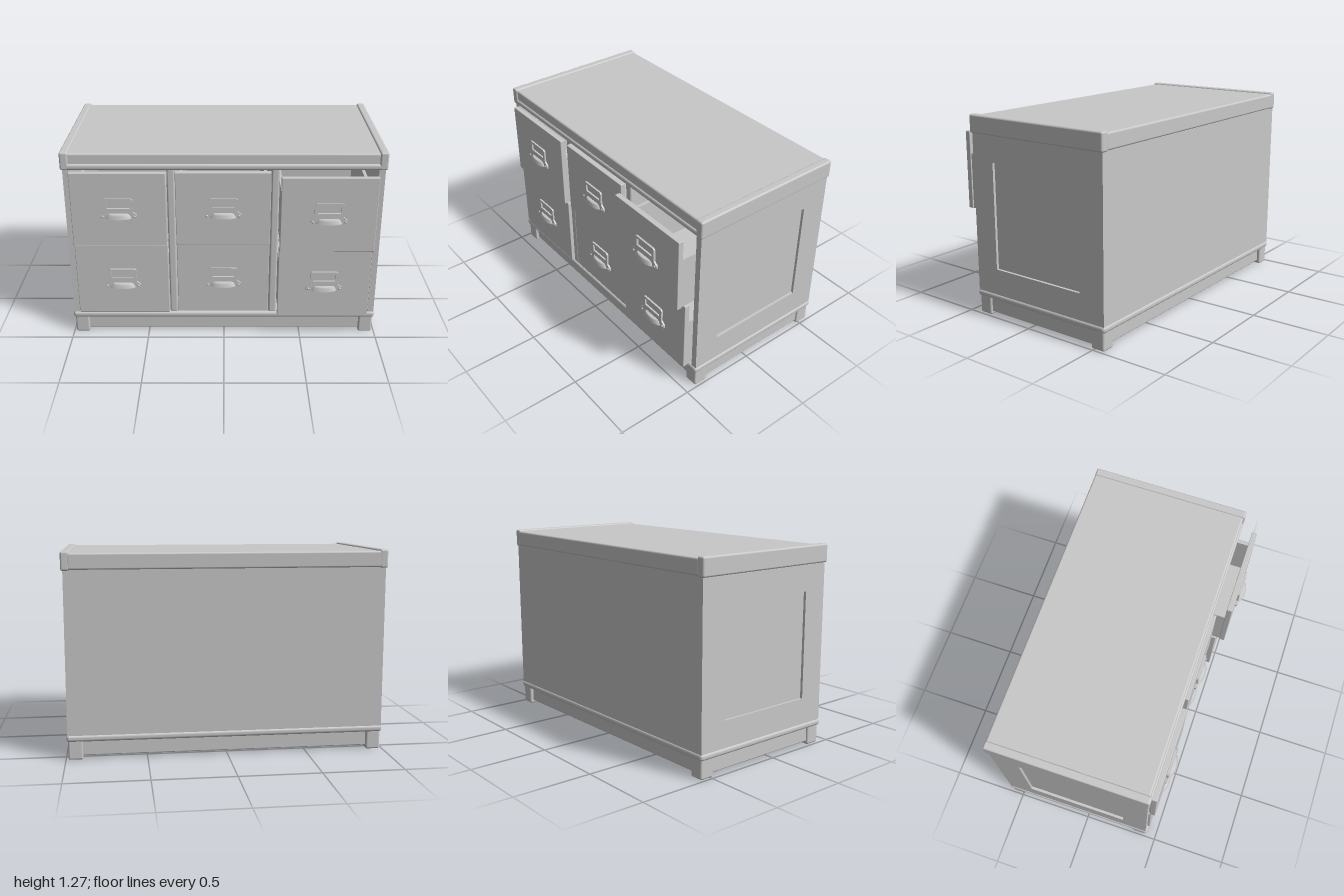
import * as THREE from 'three';
import { RoundedBoxGeometry } from 'three/addons/geometries/RoundedBoxGeometry.js';

const paint = new THREE.MeshStandardMaterial({ color: 0xc8c8c8, side: THREE.DoubleSide });
paint.name = 'grey paint';

function mesh(parent, name, geometry) {
  const m = new THREE.Mesh(geometry, paint);
  m.name = name;
  parent.add(m);
  return m;
}

// Box given by its min and max on each axis, with rounded edges if r > 0
function block(parent, name, x0, x1, y0, y1, z0, z1, r = 0) {
  const s = [x1 - x0, y1 - y0, z1 - z0];
  const g = r ? new RoundedBoxGeometry(...s, 3, r) : new THREE.BoxGeometry(...s);
  const m = mesh(parent, name, g);
  m.position.set((x0 + x1) / 2, (y0 + y1) / 2, (z0 + z1) / 2);
  return m;
}

function outline(points) {
  return new THREE.Shape(points.map(([x, y]) => new THREE.Vector2(x, y)));
}

function rectHole(x0, x1, y0, y1) {
  return new THREE.Path([[x0, y0], [x0, y1], [x1, y1], [x1, y0]].map(([x, y]) => new THREE.Vector2(x, y)));
}

// Label holder plate with a window, and a cup pull below it
function makeHandle() {
  const g = new THREE.Group();
  g.name = 'handle';
  const plate = outline([
    [-0.115, -0.095], [0.115, -0.095], [0.115, -0.075], [0.09, -0.055],
    [0.09, 0.025], [0.08, 0.035], [-0.08, 0.035], [-0.09, 0.025], [-0.09, -0.055], [-0.115, -0.075],
  ]);
  plate.holes.push(rectHole(-0.07, 0.07, -0.03, 0.018));
  mesh(g, 'labelHolder', new THREE.ExtrudeGeometry(plate, { depth: 0.012, bevelEnabled: false }));

  const profile = [[0, 0.032], [0.058, 0.032], [0.07, 0.024], [0.082, 0]].map(([x, y]) => new THREE.Vector2(x, y));
  const cup = mesh(g, 'cupPull', new THREE.LatheGeometry(profile, 24, -Math.PI / 2, Math.PI));
  cup.position.set(0, -0.095, 0.006);
  cup.scale.z = 0.42;

  for (const s of [-1, 1]) {
    const rivet = mesh(g, 'rivet', new THREE.SphereGeometry(0.008, 12, 8));
    rivet.position.set(s * 0.1, -0.084, 0.012);
  }
  return g;
}

// Open tray behind a tall front; z is the front face
function makeDrawer(x0, x1, y0, y1, z) {
  const g = new THREE.Group();
  g.name = 'drawer';
  const back = z - 0.93, inner = z - 0.035, top = y0 + 0.35;
  block(g, 'drawerFront', x0, x1, y0, y1, inner, z, 0.004);
  block(g, 'drawerSide', x0 + 0.008, x0 + 0.028, y0, top, back, inner);
  block(g, 'drawerSide', x1 - 0.028, x1 - 0.008, y0, top, back, inner);
  block(g, 'drawerBack', x0 + 0.028, x1 - 0.028, y0, top, back, back + 0.02);
  block(g, 'drawerBottom', x0 + 0.028, x1 - 0.028, y0, y0 + 0.02, back + 0.02, inner);
  const handle = makeHandle();
  handle.position.set((x0 + x1) / 2, y0 + 0.292, z);
  g.add(handle);
  return g;
}

export function createModel() {
  const root = new THREE.Group();
  root.name = 'drawerCabinet';

  // Feet and aprons
  for (const sx of [-1, 1]) {
    for (const z of [0.38, -0.525]) {
      block(root, 'foot', sx * 0.94 - 0.045, sx * 0.94 + 0.045, 0, 0.125, z - 0.047, z + 0.047, 0.012);
    }
    block(root, 'sideApron', sx * 0.955 - 0.018, sx * 0.955 + 0.018, 0.02, 0.125, -0.5, 0.36, 0.008);
  }
  block(root, 'frontApron', -0.92, 0.92, 0.02, 0.125, 0.37, 0.406, 0.008);
  block(root, 'backApron', -0.92, 0.92, 0.02, 0.125, -0.55, -0.515, 0.008);

  // Base moulding
  block(root, 'baseMoulding', -0.995, 0.995, 0.114, 0.157, -0.582, 0.438, 0.018);

  // Framed sides with a sunken panel
  const frame = outline([[-0.575, 0.15], [0.428, 0.15], [0.428, 1.18], [-0.575, 1.18]]);
  frame.holes.push(rectHole(-0.4, 0.265, 0.32, 0.995));
  const frameGeometry = new THREE.ExtrudeGeometry(frame, { depth: 0.04, bevelEnabled: false });
  frameGeometry.rotateY(-Math.PI / 2);
  for (const sx of [-1, 1]) {
    const side = mesh(root, 'sideFrame', frameGeometry);
    side.position.x = sx > 0 ? 0.988 : -0.948;
    block(root, 'sidePanel', sx * 0.961 - 0.01, sx * 0.961 + 0.01, 0.3, 1.01, -0.42, 0.28);
  }

  // Carcass: back, shelf and dividers
  block(root, 'backPanel', -0.95, 0.95, 0.15, 1.18, -0.575, -0.545);
  block(root, 'shelf', -0.95, 0.95, 0.645, 0.66, -0.55, 0.37);
  for (const x of [-0.328, 0.318]) {
    block(root, 'divider', x - 0.025, x + 0.025, 0.15, 1.18, -0.55, 0.428, 0.012);
  }

  // Top board, front moulding and raised end rails
  block(root, 'topBoard', -0.96, 0.96, 1.165, 1.265, -0.583, 0.43, 0.012);
  block(root, 'topMoulding', -0.99, 0.99, 1.16, 1.2, 0.37, 0.44, 0.016);
  for (const sx of [-1, 1]) {
    block(root, 'endRail', sx * 0.974 - 0.026, sx * 0.974 + 0.026, 1.16, 1.275, -0.583, 0.44, 0.012);
  }

  // Drawers pulled out by different amounts: [x0, x1, lower front, upper front]
  const columns = [
    [-0.948, -0.357, 0.445, 0.47],
    [-0.3, 0.29, 0.43, 0.46],
    [0.347, 0.936, 0.485, 0.545],
  ];
  for (const [x0, x1, lower, upper] of columns) {
    root.add(makeDrawer(x0, x1, 0.16, 0.653, lower));
    root.add(makeDrawer(x0, x1, 0.662, 1.153, upper));
  }
  return root;
}
